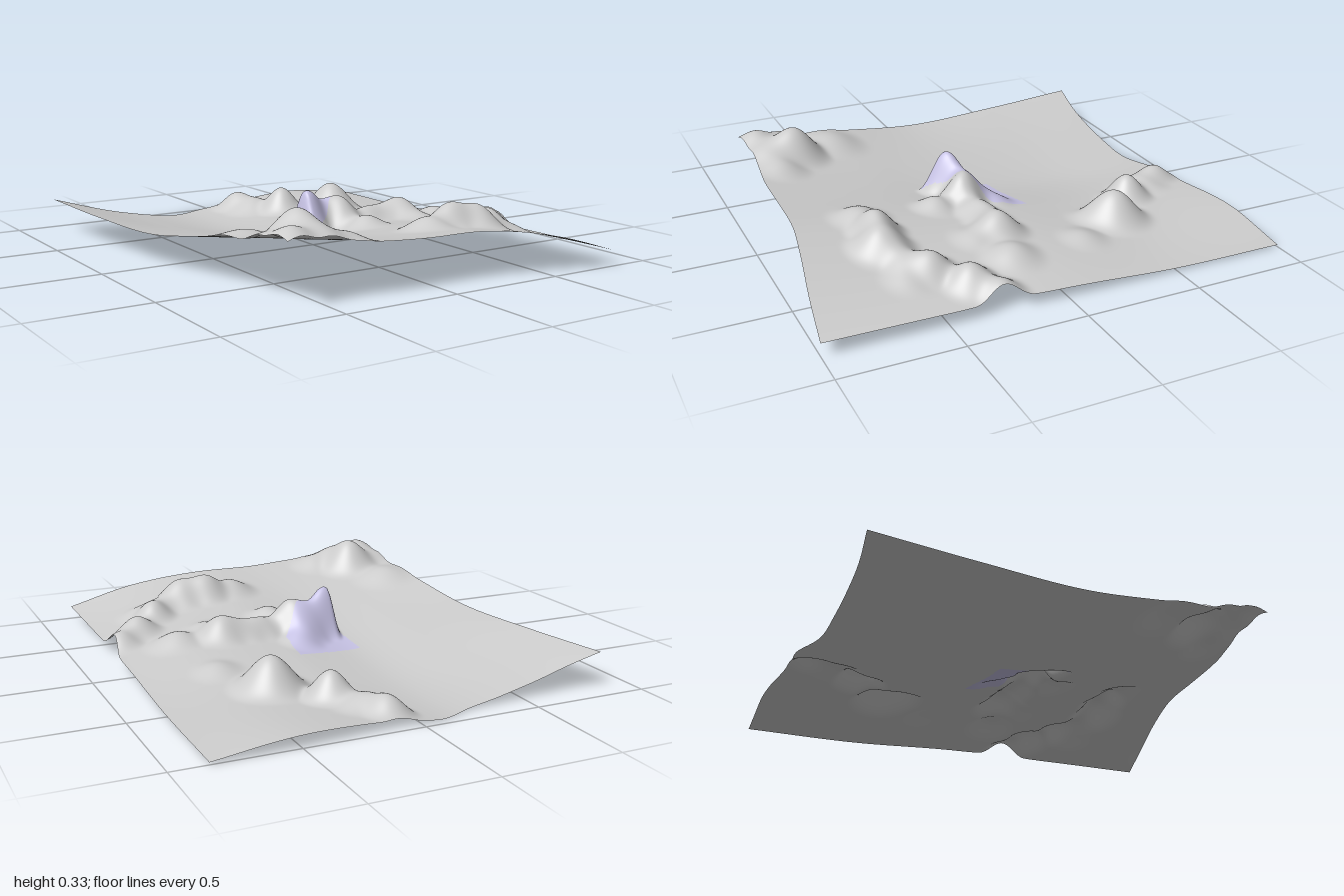
import * as THREE from 'three';

const COLS = 220, ROWS = 230;

// Broad heights of the land, from left to right, rows from back to front
const LAND = [
  [0.15, 0.055, 0.004, 0.035, 0.05, 0.01],
  [0.135, 0.058, 0.005, 0.03, 0.038, 0.015],
  [0.135, 0.09, 0.052, 0.085, 0.088, 0.045],
  [0.2, 0.155, 0.13, 0.14, 0.112, 0.055],
  [0.245, 0.22, 0.2, 0.195, 0.15, 0.06],
];

// Hills: x, z, height above the land, radius, and a shorter radius to the left where there is a cliff
const HILLS = [
  // back chain
  [0.09, -0.87, 0.07, 0.12], [0.13, -0.77, 0.055, 0.15], [0.22, -0.64, 0.115, 0.13],
  [0.4, -0.47, 0.135, 0.17], [0.37, -0.38, 0.03, 0.12], [0.54, -0.24, 0.025, 0.12],
  // middle chain
  [0.07, 0.1, 0.135, 0.13], [0.11, 0.24, 0.05, 0.12], [0.2, 0.09, 0.06, 0.12], [0.29, 0.08, 0.06, 0.12],
  [0.4, 0.09, 0.09, 0.14], [0.43, 0.2, 0.03, 0.12], [0.6, 0.12, 0.045, 0.14],
  // front chain
  [0.17, 0.6, 0.05, 0.14], [0.3, 0.58, 0.1, 0.13], [0.42, 0.6, 0.1, 0.15],
  [0.54, 0.55, 0.05, 0.12], [0.6, 0.47, 0.08, 0.12], [0.62, 0.57, 0.03, 0.12],
  [0.71, 0.35, 0.08, 0.13], [0.81, 0.27, 0.065, 0.12],
  // front left cluster
  [-0.5, 0.67, 0.125, 0.16], [-0.61, 0.81, 0.065, 0.13], [-0.64, 0.7, 0.035, 0.12],
  [-0.48, 0.79, 0.06, 0.14], [-0.36, 0.77, 0.04, 0.13], [-0.59, 0.46, 0.035, 0.16],
  // marked hill
  [-0.105, 0.1, 0.19, 0.13, 0.05], [-0.03, 0.07, 0.11, 0.11], [0.03, 0.03, 0.08, 0.12], [0.08, -0.04, 0.04, 0.11],
];

// Corners of the tinted patch, x and z
const PATCH = [[-0.165, -0.13], [0.145, -0.18], [0.145, -0.02], [0.045, 0.075], [-0.03, 0.15], [-0.11, 0.22], [-0.145, 0.1]];

// Edges of the sheet
const LEFT = [-0.86, -0.82, -0.772, -0.708, -0.67];
const BACK = [-0.905, -0.89, -0.892, -0.9, -0.915, -0.972, -0.968, -0.975, -0.99, -1, -1, -1];
const FRONT = [0.885, 0.87, 0.885, 0.885, 0.895, 0.93, 0.97, 1];

// Smooth curve through evenly spaced values
function spline(a, t) {
  const n = a.length - 1, i = Math.min(Math.floor(t * n), n - 1), f = t * n - i;
  const b = a[i], c = a[i + 1];
  const p = i > 0 ? a[i - 1] : 2 * b - c, q = i + 2 <= n ? a[i + 2] : 2 * c - b;
  return b + 0.5 * f * (c - p + f * (2 * p - 5 * b + 4 * c - q + f * (3 * (b - c) + q - p)));
}

// Bell-shaped hills flow into each other with a soft maximum
function hills(x, z) {
  let sum = 0;
  for (const [hx, hz, h, r, cliff = r] of HILLS) {
    const d = (((x - hx) / (x < hx ? cliff : r)) ** 2 + ((z - hz) / r) ** 2) / 1.4;
    if (d < 1) sum += (h * (1 - d) ** 3) ** 1.6;
  }
  return sum ** (1 / 1.6);
}

function inPatch(x, z) {
  let inside = false;
  PATCH.forEach(([ax, az], i) => {
    const [bx, bz] = PATCH[(i + 1) % PATCH.length];
    if ((az > z) !== (bz > z) && x < ax + (bx - ax) * (z - az) / (bz - az)) inside = !inside;
  });
  return inside;
}

export function createModel() {
  const ground = new THREE.MeshStandardMaterial({ color: 0xcccccc, side: THREE.DoubleSide });
  ground.name = 'ground grey';
  const tint = new THREE.MeshStandardMaterial({ color: 0xc6c2e4, side: THREE.DoubleSide });
  tint.name = 'patch lavender';

  // Terrain sheet
  const pos = [];
  for (let j = 0; j <= ROWS; j++) {
    const v = j / ROWS, left = spline(LEFT, v), rows = LAND[0].map((_, c) => spline(LAND.map(r => r[c]), v));
    // small notch in the right edge
    const right = 0.85 - 0.02 * Math.exp(-(((v - 0.63) / 0.05) ** 2));
    for (let i = 0; i <= COLS; i++) {
      const u = i / COLS;
      const x = left + (right - left) * u;
      const z = THREE.MathUtils.lerp(spline(BACK, u), spline(FRONT, u), v);
      pos.push(x, spline(rows, u) + hills(x, z), z);
    }
  }

  // Sort the faces into plain ground and tinted patch
  const plain = [], marked = [];
  const W = COLS + 1;
  for (let j = 0; j < ROWS; j++) for (let i = 0; i < COLS; i++) {
    const a = j * W + i, b = a + 1, c = a + W, d = c + 1;
    for (const t of [[a, c, b], [b, c, d]]) {
      const mid = k => t.reduce((s, n) => s + pos[n * 3 + k], 0) / 3;
      (inPatch(mid(0), mid(2)) ? marked : plain).push(...t);
    }
  }

  const geo = new THREE.BufferGeometry();
  geo.setAttribute('position', new THREE.Float32BufferAttribute(pos, 3));
  geo.setIndex([...plain, ...marked]);
  geo.addGroup(0, plain.length, 0);
  geo.addGroup(plain.length, marked.length, 1);
  geo.computeVertexNormals();
  geo.computeBoundingBox();
  geo.translate(0, -geo.boundingBox.min.y, 0);

  const terrain = new THREE.Mesh(geo, [ground, tint]);
  terrain.name = 'terrain';
  const group = new THREE.Group();
  group.name = 'hillyLandscape';
  group.add(terrain);
  return group;
}
